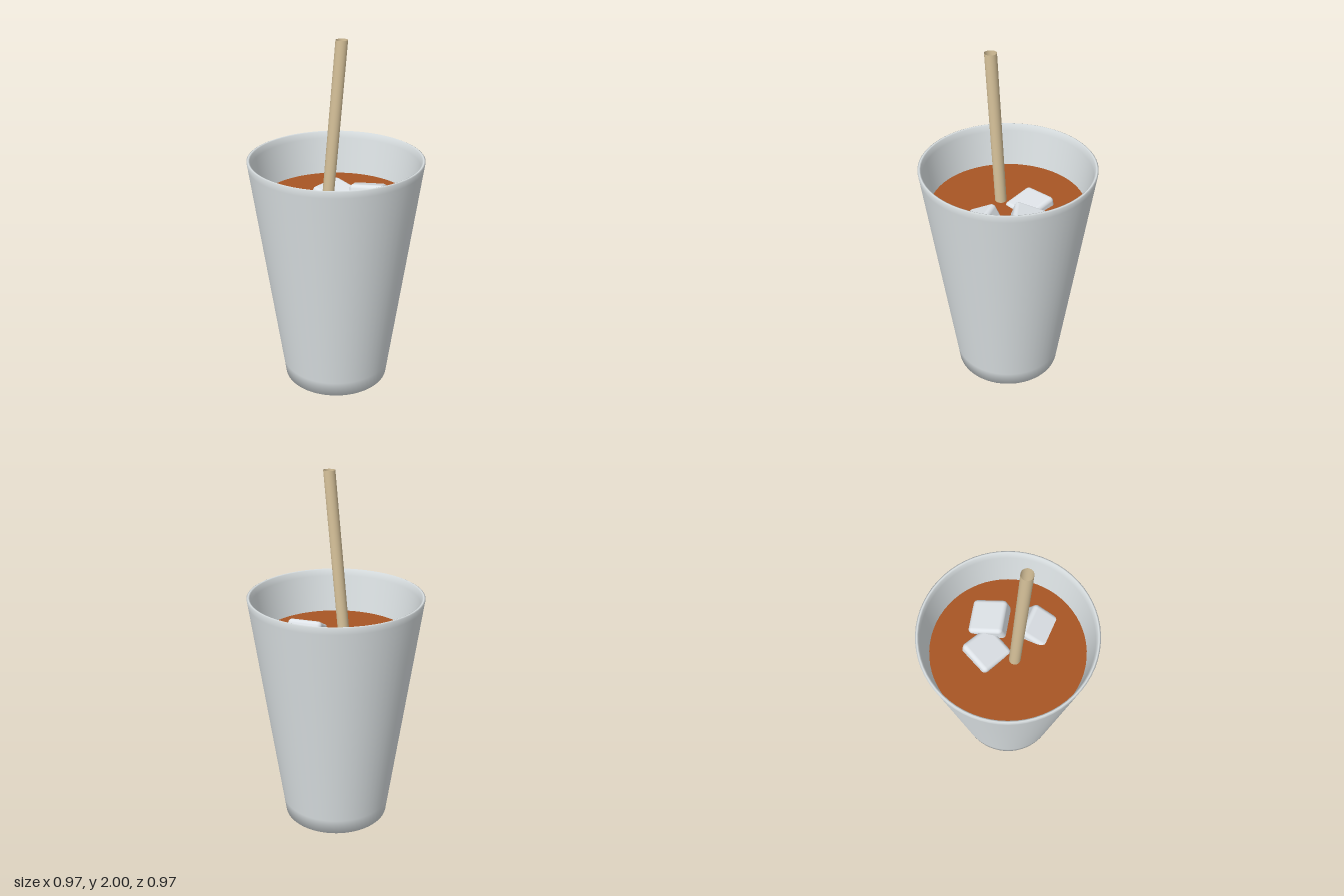
import * as THREE from 'three';
import { RoundedBoxGeometry } from 'three/addons/geometries/RoundedBoxGeometry.js';

const HEIGHT = 1.34, LEVEL = 1.09, WALL = 0.018;
const outerRadius = (y) => 0.3 + 0.185 * y / HEIGHT;

const mat = (name, color, side = THREE.FrontSide) => {
  const m = new THREE.MeshStandardMaterial({ color, side });
  m.name = name;
  return m;
};

export function createModel() {
  const group = new THREE.Group();
  const cupGrey = mat('cupGrey', 0xdde3e5);
  const iceWhite = mat('iceWhite', 0xe2e7ec);
  const drinkBrown = mat('drinkBrown', 0xa85624);
  const strawTan = mat('strawTan', 0xd8c39b, THREE.DoubleSide);

  const add = (name, geometry, material) => {
    const mesh = new THREE.Mesh(geometry, material);
    mesh.name = name;
    group.add(mesh);
    return mesh;
  };

  // Cup: one closed profile up the outside, over the rim and down the inside
  const profile = [
    [0, 0], [0.12, 0], [0.24, 0], [0.3, 0],
    [outerRadius(0.09), 0.09], [outerRadius(0.7), 0.7],
    [outerRadius(1.3), 1.3], [outerRadius(HEIGHT), HEIGHT - 0.004],
    [outerRadius(HEIGHT) - WALL / 2, HEIGHT],
    [outerRadius(HEIGHT) - WALL, HEIGHT - 0.004],
    [outerRadius(1.3) - WALL, 1.3], [outerRadius(0.7) - WALL, 0.7],
    [outerRadius(0.03) - WALL, 0.03], [0, 0.03],
  ].map(([x, y]) => new THREE.Vector2(x, y));
  add('cup', new THREE.LatheGeometry(profile, 64), cupGrey);

  // Drink filling the cup
  const fill = LEVEL - 0.04;
  const drink = add('drink', new THREE.CylinderGeometry(
    outerRadius(LEVEL) - WALL, outerRadius(0.04) - WALL - 0.001, fill, 64), drinkBrown);
  drink.position.y = 0.04 + fill / 2;

  // Floating ice cubes: position, then turn and tilts in degrees
  const cubes = [
    [[0.105, 1.045, -0.175], [-18, 24, 0]],
    [[-0.07, 1.022, -0.108], [4, -15, -8]],
    [[0.21, 1.025, 0.045], [28, 10, 0]],
  ];
  const cubeGeometry = new RoundedBoxGeometry(0.2, 0.2, 0.2, 4, 0.024);
  cubes.forEach(([position, angles], i) => {
    const cube = add(`iceCube${i + 1}`, cubeGeometry, iceWhite);
    cube.position.set(...position);
    cube.rotation.set(...angles.map(THREE.MathUtils.degToRad), 'YXZ');
  });

  // Hollow straw: an upright tube sheared sideways, so its ends stay level
  const lean = 0.0985, bottom = 0.06;
  const straw = new THREE.CylinderGeometry(0.032, 0.032, 2 - bottom, 24, 1, true);
  straw.translate(0, (2 + bottom) / 2, 0);
  const p = straw.attributes.position;
  for (let i = 0; i < p.count; i++) {
    p.setXYZ(i, p.getX(i) + 0.07 - lean * (2 - p.getY(i)), p.getY(i), p.getZ(i) + 0.058);
  }
  add('straw', straw, strawTan);

  return group;
}
